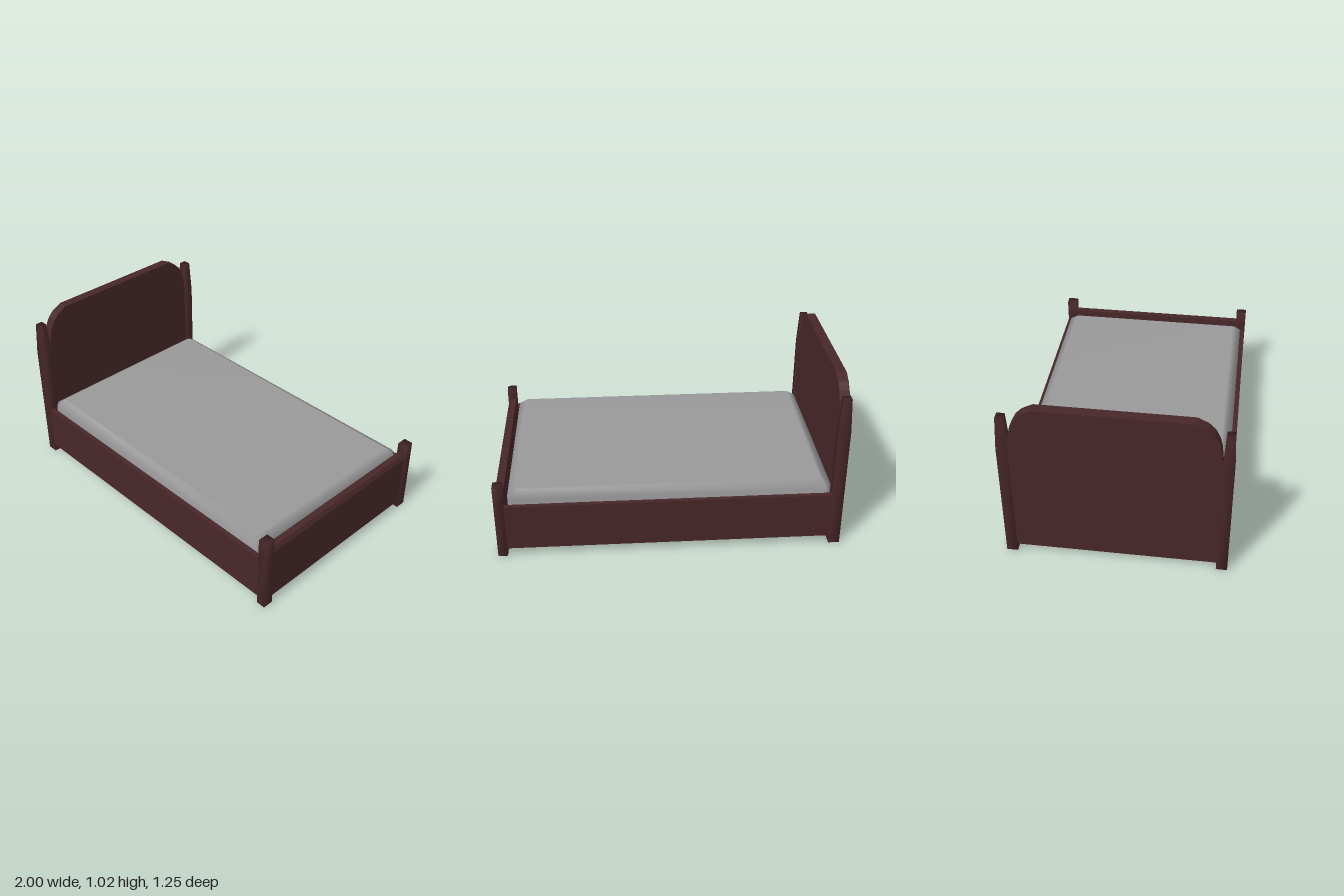
import * as THREE from 'three';
import { mergeVertices } from 'three/addons/utils/BufferGeometryUtils.js';

const wood = new THREE.MeshStandardMaterial({ color: 0x482729 });
wood.name = 'dark wood';
const fabric = new THREE.MeshStandardMaterial({ color: 0x999999 });
fabric.name = 'grey fabric';

// Share vertices so shading runs softly round the edges
function soften(geometry) {
  geometry.deleteAttribute('normal');
  geometry.deleteAttribute('uv');
  const merged = mergeVertices(geometry, 1e-4);
  merged.computeVertexNormals();
  return merged;
}

function shapeOf(points) {
  return new THREE.Shape(points.map(([x, y]) => new THREE.Vector2(x, y)));
}

// Square post, narrowing above the shoulder height
function postGeometry(width, depth, height, shoulder, taper) {
  const geometry = new THREE.BoxGeometry(width, height, depth, 1, 2, 1);
  const p = geometry.attributes.position;
  for (let i = 0; i < p.count; i++) {
    const y = p.getY(i);
    const isTop = y > 0.01;
    const level = isTop ? height : y < -0.01 ? 0 : shoulder;
    const k = isTop ? taper : 1;
    p.setXYZ(i, p.getX(i) * k, level, p.getZ(i) * k);
  }
  return soften(geometry);
}

export function createModel() {
  const bed = new THREE.Group();
  bed.name = 'bed';
  const add = (name, geometry, material, x = 0, y = 0, z = 0) => {
    const mesh = new THREE.Mesh(geometry, material);
    mesh.name = name;
    mesh.position.set(x, y, z);
    bed.add(mesh);
  };

  // Posts and side rails, mirrored front to back
  const headPost = postGeometry(0.065, 0.063, 0.95, 0.75, 0.7);
  const footPost = postGeometry(0.055, 0.063, 0.468, 0.37, 1);
  const rail = new THREE.BoxGeometry(1.88, 0.283, 0.028);
  for (const side of [-1, 1]) {
    add('headPost', headPost, wood, -0.9675, 0, side * 0.5955);
    add('footPost', footPost, wood, 0.9725, 0, side * 0.5955);
    add('sideRail', rail, wood, 0.005, 0.1925, side * 0.611);
  }

  // Headboard with rounded shoulders
  const half = [[0.565, 0.05], [0.565, 0.76], [0.555, 0.85], [0.541, 0.905],
    [0.515, 0.955], [0.48, 0.99], [0.42, 1.02]];
  const outline = [...half, ...half.map(([x, y]) => [-x, y]).reverse()];
  const headboard = new THREE.ExtrudeGeometry(shapeOf(outline), { depth: 0.058, bevelEnabled: false });
  headboard.rotateY(Math.PI / 2);
  add('headboard', headboard, wood, -0.998);

  // Footboard with a bevelled outer top edge
  const section = [[0.947, 0.05], [0.998, 0.05], [0.998, 0.375], [0.985, 0.402], [0.947, 0.402]];
  const footboard = new THREE.ExtrudeGeometry(shapeOf(section), { depth: 1.13, bevelEnabled: false });
  add('footboard', footboard, wood, 0, 0, -0.565);

  // Base panel, set just above the lower edge of the frame
  add('basePanel', new THREE.BoxGeometry(1.9, 0.02, 1.2), wood, 0.005, 0.08, 0);

  // Mattress with clipped corners and a bevelled top
  const hx = 0.929, hz = 0.596, c = 0.035;
  const corners = [[hx, hz - c], [hx - c, hz], [c - hx, hz], [-hx, hz - c],
    [-hx, c - hz], [c - hx, -hz], [hx - c, -hz], [hx, c - hz]];
  const mattress = new THREE.ExtrudeGeometry(shapeOf(corners), {
    depth: 0.235, bevelThickness: 0.035, bevelSize: 0.05, bevelOffset: -0.05, bevelSegments: 1,
  });
  mattress.rotateX(-Math.PI / 2);
  add('mattress', soften(mattress), fabric, -0.003, 0.135, 0);

  return bed;
}
